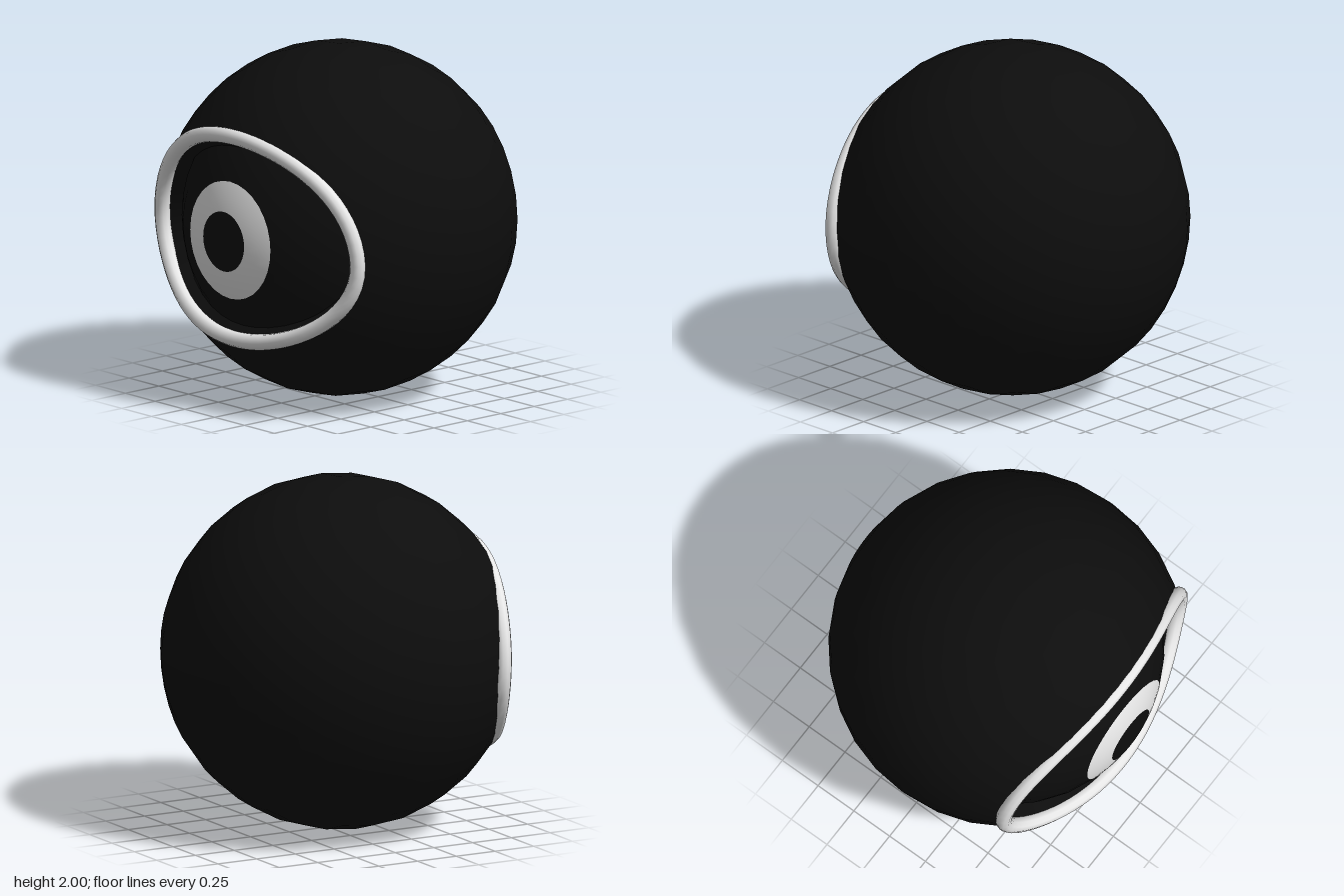
import * as THREE from 'three';

const CENTRE = new THREE.Vector3(0, 1, 0.07);
const STEP = Math.PI / 16; // angle of one sphere ring
const EYE_R = 0.88;

// Rim of the eye opening, relative to the sphere centre
function rimXY(t) {
  const s = Math.sin(t);
  return [0.82 * Math.cos(t), -0.03 + (s > 0 ? 0.615 : 0.545) * s];
}

// Distance from the front axis to the rim, in the direction phi
function rimRadius(phi) {
  const c = Math.cos(phi), s = Math.sin(phi);
  const b = s > -0.037 ? 0.615 : 0.545;
  const A = (c / 0.82) ** 2 + (s / b) ** 2;
  const B = (0.03 * s) / (b * b);
  const C = (0.03 / b) ** 2 - 1;
  return (-B + Math.sqrt(B * B - A * C)) / A;
}

// Sphere band whose pole faces +z
function band(radius, from, to, rings) {
  const g = new THREE.SphereGeometry(radius, 32, rings, 0, Math.PI * 2, from, to - from);
  return g.rotateX(Math.PI / 2);
}

// Outer ball: rings in front of the opening are pulled back to its rim
function shellGeometry() {
  const g = band(1, STEP, Math.PI, 15);
  const p = g.attributes.position;
  for (let i = 0; i < p.count; i++) {
    const x = p.getX(i), y = p.getY(i), z = p.getZ(i);
    const phi = Math.atan2(y, x);
    const r = rimRadius(phi);
    const front = Math.sqrt(1 - r * r);
    if (z > front) p.setXYZ(i, r * Math.cos(phi), r * Math.sin(phi), front);
    g.attributes.normal.setXYZ(i, p.getX(i), p.getY(i), p.getZ(i));
  }
  return g;
}

// Wall between the rim and the eyeball
function wallGeometry() {
  const pos = [], index = [], n = 64;
  for (let i = 0; i <= n; i++) {
    const phi = (i / n) * Math.PI * 2, r = rimRadius(phi);
    for (const k of [0.99, EYE_R - 0.02]) {
      pos.push(k * r * Math.cos(phi), k * r * Math.sin(phi), k * Math.sqrt(1 - r * r));
    }
    const a = i * 2;
    if (i < n) index.push(a, a + 1, a + 2, a + 1, a + 3, a + 2);
  }
  const g = new THREE.BufferGeometry();
  g.setAttribute('position', new THREE.Float32BufferAttribute(pos, 3));
  g.setIndex(index);
  g.computeVertexNormals();
  return g;
}

// Eyelid tube, following the rim over the curved surface
function eyelidGeometry() {
  const points = [];
  for (let i = 0; i < 32; i++) {
    const [x, y] = rimXY((i / 32) * Math.PI * 2);
    const R = 0.968 + 0.095 * x ** 4;
    points.push(new THREE.Vector3(x, y, Math.sqrt(R * R - x * x - y * y)));
  }
  return new THREE.TubeGeometry(new THREE.CatmullRomCurve3(points, true), 72, 0.045, 10, true);
}

export function createModel() {
  const black = new THREE.MeshStandardMaterial({ color: 0x0d0d0d });
  black.name = 'black';
  black.side = THREE.DoubleSide;
  const white = new THREE.MeshStandardMaterial({ color: 0xe7e7e7 });
  white.name = 'white';

  const model = new THREE.Group();
  model.name = 'eyeBall';
  const add = (name, geometry, material) => {
    const mesh = new THREE.Mesh(geometry, material);
    mesh.name = name;
    mesh.position.copy(CENTRE);
    model.add(mesh);
    return mesh;
  };

  add('outerShell', shellGeometry(), black);
  add('openingWall', wallGeometry(), black);
  add('eyelidRim', eyelidGeometry(), white);

  // Inner eyeball in three zones
  add('eyeball', band(EYE_R, 2 * STEP, 8 * STEP, 6), black);
  add('iris', band(EYE_R, STEP, 2 * STEP, 1), white);
  const pupil = new THREE.CircleGeometry(EYE_R * Math.sin(STEP), 32);
  pupil.translate(0, 0, EYE_R * Math.cos(STEP));
  add('pupil', pupil, black);

  return model;
}
